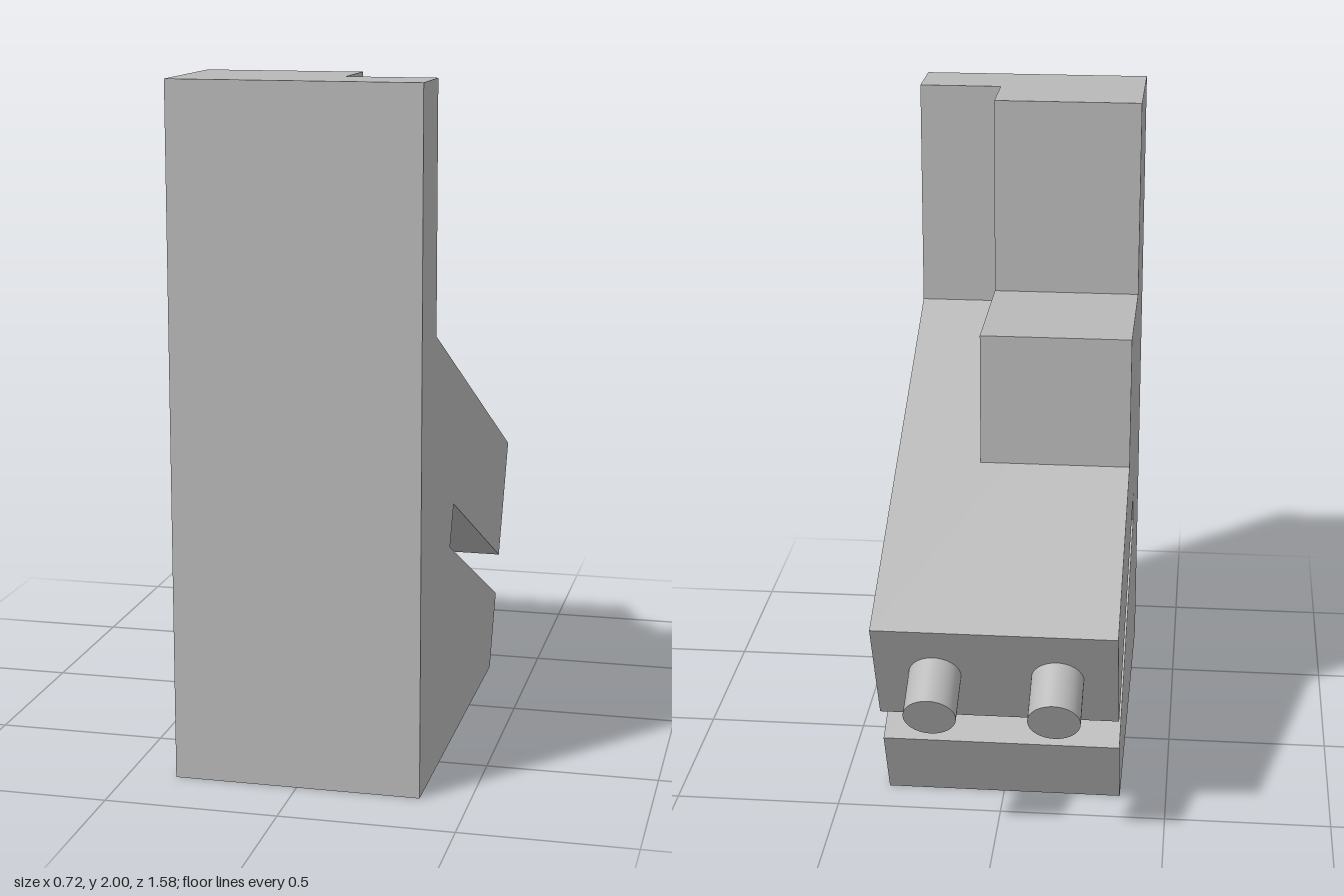
import * as THREE from 'three';

const HALF = 0.358; // half width of the body

// Extrude a side profile of [z, y] points from x0 to x1
function slab(name, profile, x0, x1, material) {
  const shape = new THREE.Shape(profile.map(([z, y]) => new THREE.Vector2(-z, y)));
  const geometry = new THREE.ExtrudeGeometry(shape, { depth: x1 - x0, bevelEnabled: false });
  geometry.translate(0, 0, x0).rotateY(Math.PI / 2);
  const mesh = new THREE.Mesh(geometry, material);
  mesh.name = name;
  return mesh;
}

export function createModel() {
  const model = new THREE.Group();
  model.name = 'slottedBracket';
  const grey = new THREE.MeshStandardMaterial({ color: 0xb8b8b8 });
  grey.name = 'plain grey';

  // Upright wall with the sloping arm, slot and foot
  model.add(slab('body', [
    [0.788, 0], [0.788, 2], [0.588, 2], [0.588, 1.286], [-0.696, 0.69],
    [-0.532, 0.343], [0.303, 0.732], [0.358, 0.614], [-0.479, 0.224], [-0.375, 0],
  ], -HALF, HALF, grey));

  // Stepped block on the right part of the slope
  model.add(slab('step', [
    [0.588, 2], [0.38, 2], [0.38, 1.385], [-0.08, 1.385], [-0.08, 0.976], [0.588, 1.286],
  ], -HALF, 0.1, grey));

  // Pair of pins square to the end of the arm
  const axis = new THREE.Vector3(0, -0.427, -0.904).normalize();
  const base = new THREE.Vector3(0, 0.517, -0.614);
  const length = 0.157, sunk = 0.02;
  for (const side of [-1, 1]) {
    const pin = new THREE.Mesh(new THREE.CylinderGeometry(0.077, 0.077, length + sunk, 48), grey);
    pin.name = side < 0 ? 'rightPin' : 'leftPin';
    pin.quaternion.setFromUnitVectors(new THREE.Vector3(0, 1, 0), axis);
    pin.position.copy(base).addScaledVector(axis, (length - sunk) / 2);
    pin.position.x = side * 0.18;
    model.add(pin);
  }
  return model;
}
